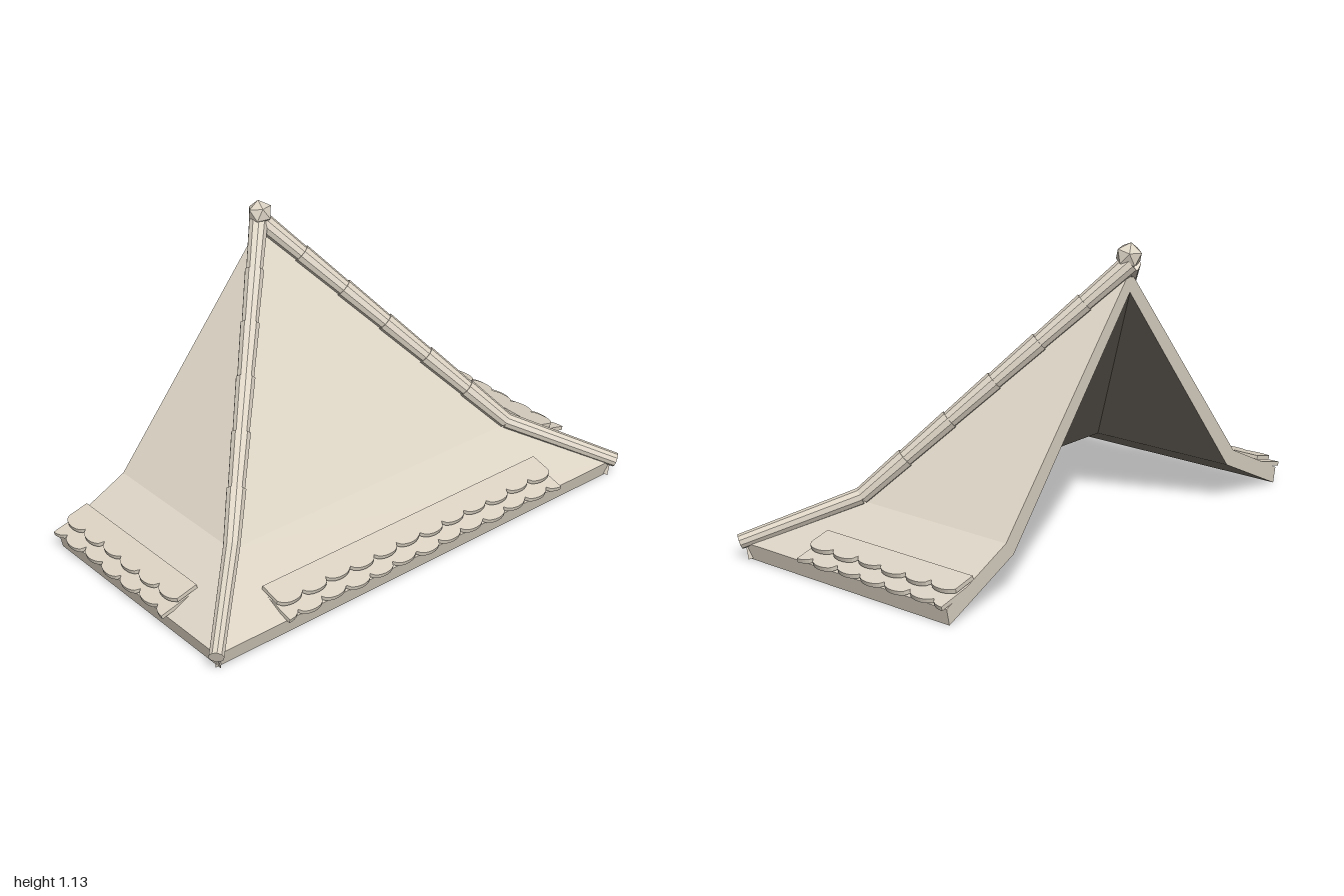
import * as THREE from 'three';

const X0 = -0.48; // the cut edge of the roof, directly below the finial

export function createModel() {
  const material = (name, color) => {
    const m = new THREE.MeshStandardMaterial({ color, side: THREE.DoubleSide });
    m.name = name;
    return m;
  };
  const stone = material('pale stone', 0xdcd3c4);
  const shade = material('dark underside', 0x837c71);
  const root = new THREE.Group();
  root.name = 'hippedRoof';

  const add = (parent, geometry, name, mat = stone) => {
    const g = geometry.index ? geometry.toNonIndexed() : geometry;
    g.computeVertexNormals(); // flat facets
    const mesh = new THREE.Mesh(g, mat);
    mesh.name = name;
    parent.add(mesh);
    return mesh;
  };

  // Bell-cast roof profile: [distance out, height], outer skin and underside
  const outer = [[0, 1.035], [0.67, 0.21], [0.97, 0.065]];
  const inner = [[0, 0.957], [0.63, 0.16], [0.957, 0.004]];

  // Thick roof slope; lo and hi scale its two side edges with the distance out
  function addSlope(parent, lo, hi, name) {
    const order = [0, 1, 2, 2, 1, 0];
    const loop = order.map((k, i) => ({ s: outer[k][0], p: (i < 3 ? outer : inner)[k] }));
    const pos = [], skin = [], under = [];
    for (const side of [lo, hi]) for (const { s, p } of loop) pos.push(s * side, p[1], p[0]);
    const quad = (list, a, b, c, d) => list.push(a, b, c, a, c, d);
    for (let i = 0; i < 5; i++) quad(i < 3 ? skin : under, i, i + 1, i + 7, i + 6);
    for (let i = 0; i < 2; i++) {
      quad(skin, i, 5 - i, 4 - i, i + 1);
      quad(skin, i + 6, i + 7, 10 - i, 11 - i);
    }
    const part = (index) => {
      const g = new THREE.BufferGeometry();
      g.setAttribute('position', new THREE.Float32BufferAttribute(pos, 3));
      g.setIndex(index);
      return g;
    };
    add(parent, part(skin), name + 'Slope');
    add(parent, part(under), name + 'Underside', shade);
  }

  // One course of round-ended shingles
  function shingleGeometry(a, b, length, phase) {
    const pitch = 0.113, steps = Math.round((b - a) / pitch) * 10;
    const shape = new THREE.Shape();
    shape.moveTo(a, 0);
    for (let i = 0; i <= steps; i++) {
      const s = a + (b - a) * i / steps;
      const t = i / 10 + phase;
      const u = 2 * (t - Math.floor(t)) - 1;
      const wobble = 0.004 * Math.sin(Math.floor(t) * 2.3);
      shape.lineTo(s, length + wobble - 0.032 * (1 - Math.sqrt(1 - u * u * 0.98)));
    }
    shape.lineTo(b, 0);
    return new THREE.ExtrudeGeometry(shape, { depth: 0.016, bevelEnabled: false });
  }

  // Three slopes, each with two courses of shingles by the eave
  const sides = [
    { name: 'front', turn: 0, lo: 0, hi: 1, a: 0, b: 0.683 },
    { name: 'left', turn: Math.PI / 2, lo: -1, hi: 1, a: -0.668, b: 0.668 },
    { name: 'back', turn: Math.PI, lo: -1, hi: 0, a: -0.683, b: 0 },
  ];
  for (const { name, turn, lo, hi, a, b } of sides) {
    const group = new THREE.Group();
    group.name = name + 'Side';
    group.position.x = X0;
    group.rotation.y = turn;
    root.add(group);
    addSlope(group, lo, hi, name);
    const courses = [
      ['UpperShingles', 0.84, 0.145, 0.112, 0],
      ['LowerShingles', 0.86, 0.116, 0.136, 0.5],
    ];
    for (const [label, d, y, length, phase] of courses) {
      const row = add(group, shingleGeometry(a, b, length, phase), name + label);
      row.position.set(0, y, d);
      row.rotation.x = Math.PI / 2 + 0.25;
    }
  }

  // Round tile between two points
  const up = new THREE.Vector3(0, 1, 0);
  function tile(parent, from, to, rFrom, rTo, name) {
    const dir = to.clone().sub(from);
    const mesh = add(parent, new THREE.CylinderGeometry(rTo, rFrom, dir.length(), 10), name);
    mesh.position.copy(from).add(to).multiplyScalar(0.5);
    mesh.quaternion.setFromUnitVectors(up, dir.normalize());
  }

  // Hip ridges: six tapering tiles, then a plain one along the flare
  for (const m of [1, -1]) {
    const hip = new THREE.Group();
    hip.name = m > 0 ? 'frontHip' : 'backHip';
    root.add(hip);
    const at = (d, y) => new THREE.Vector3(X0 + d, y, m * d);
    const top = at(0, 1.062), bend = at(0.675, 0.23), end = at(0.983, 0.07);
    for (let i = 0; i < 6; i++) {
      const p = top.clone().lerp(bend, i / 6);
      const q = top.clone().lerp(bend, Math.min(1, (i + 1.05) / 6));
      tile(hip, p, q, 0.037, 0.032, 'hipTile');
    }
    tile(hip, bend, end, 0.032, 0.028, 'hipEndTile');
  }

  // Faceted finial, leaning slightly
  const ball = new THREE.IcosahedronGeometry(0.05, 0);
  ball.rotateX(-Math.atan((1 + Math.sqrt(5)) / 2));
  ball.rotateZ(0.2);
  add(root, ball, 'finial').position.set(-0.473, 1.087, 0);

  return root;
}
